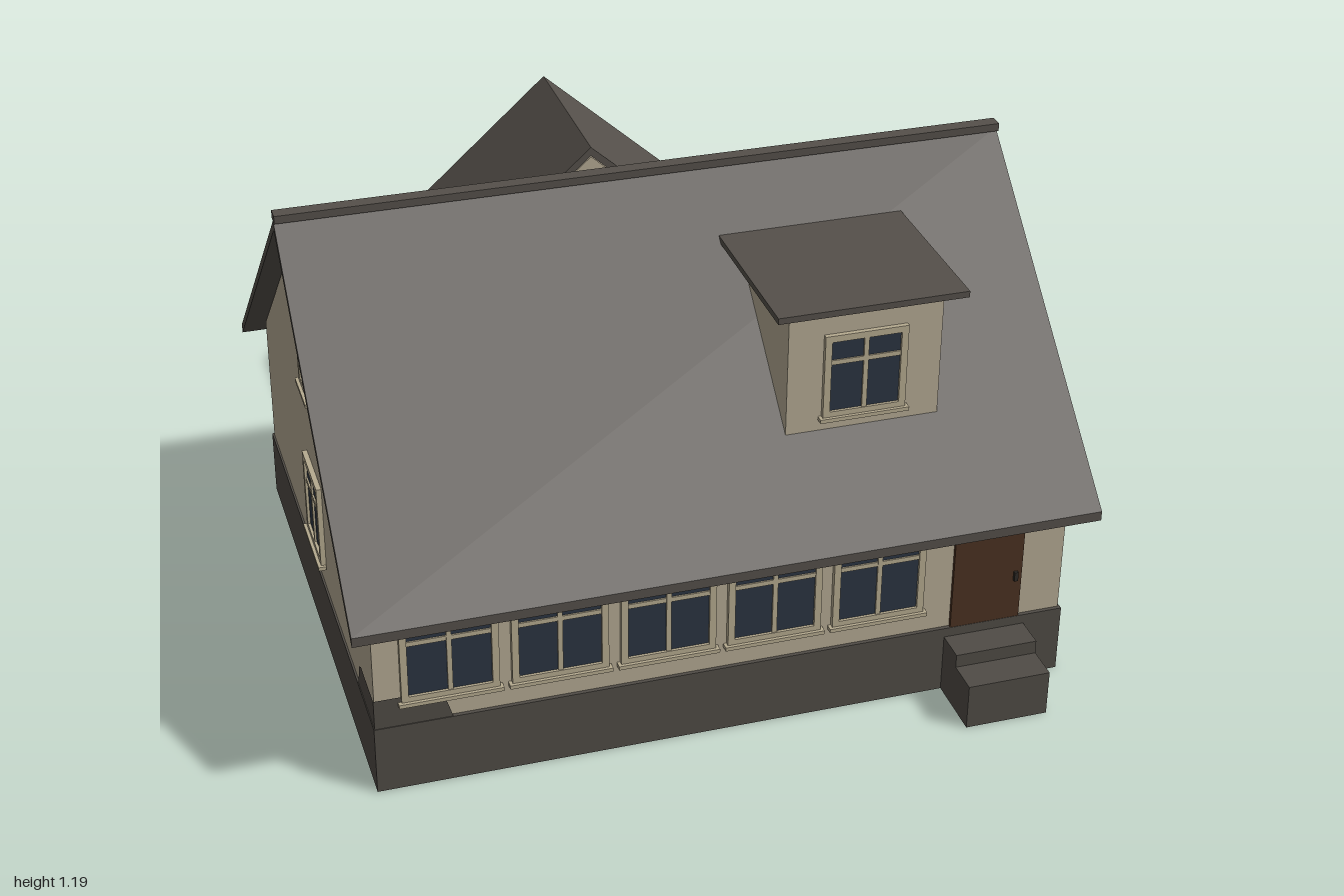
import * as THREE from 'three';

const mat = (name, color, side = THREE.FrontSide) => {
  const m = new THREE.MeshStandardMaterial({ color, side });
  m.name = name;
  return m;
};

export function createModel() {
  const house = new THREE.Group();
  house.name = 'house';
  const wallMat = mat('plaster', 0xb5aa94, THREE.DoubleSide);
  const roofMat = mat('roof', 0x55504a);
  const stoneMat = mat('plinth stone', 0x504c46, THREE.DoubleSide);
  const frameMat = mat('window frame', 0xb6ab90);
  const glassMat = mat('glass', 0x2b3442);
  const doorMat = mat('door wood', 0x4b3221);
  const metalMat = mat('dark metal', 0x2e2a26);

  const add = (parent, name, geo, material, x = 0, y = 0, z = 0) => {
    const m = new THREE.Mesh(geo, material);
    m.name = name;
    m.position.set(x, y, z);
    parent.add(m);
    return m;
  };
  // box given by its limits
  const box = (parent, name, material, x0, x1, y0, y1, z0, z1) =>
    add(parent, name, new THREE.BoxGeometry(x1 - x0, y1 - y0, z1 - z0), material,
      (x0 + x1) / 2, (y0 + y1) / 2, (z0 + z1) / 2);
  const poly = (pts) => new THREE.Shape(pts.map(([x, y]) => new THREE.Vector2(x, y)));
  const group = (name, x = 0, y = 0, z = 0, ry = 0) => {
    const g = new THREE.Group();
    g.name = name;
    g.position.set(x, y, z);
    g.rotation.y = ry;
    house.add(g);
    return g;
  };

  // pitched roof: chevron section extruded along z
  const pitchedRoof = (parent, name, run, eave, ridge, t, z0, z1) => {
    const s = poly([[-run, eave], [-run, eave - t], [0, ridge - t], [run, eave - t], [run, eave], [0, ridge]]);
    const geo = new THREE.ExtrudeGeometry(s, { depth: z1 - z0, bevelEnabled: false });
    add(parent, name, geo, roofMat, 0, 0, z0);
  };
  const gable = (parent, name, half, base, top, peak, z) =>
    add(parent, name, new THREE.ShapeGeometry(
      poly([[-half, base], [half, base], [half, top], [0, peak], [-half, top]])), wallMat, 0, 0, z);
  const sideWalls = (parent, half, base, top, z0, z1) => {
    for (const s of [-1, 1]) {
      const w = add(parent, 'sideWall', new THREE.PlaneGeometry(z1 - z0, top - base), wallMat,
        s * half, (base + top) / 2, (z0 + z1) / 2);
      w.rotation.y = s * Math.PI / 2;
    }
  };

  // main body, ridge running along x
  const body = group('mainBody', 0, 0, 0.145, Math.PI / 2);
  for (const z of [-0.86, 0.86]) gable(body, 'gableWall', 0.68, 0.17, 0.533, 1.147, z);
  sideWalls(body, 0.68, 0.17, 0.533, -0.86, 0.86);
  pitchedRoof(body, 'mainRoof', 0.755, 0.495, 1.173, 0.025, -0.915, 0.915);
  box(house, 'ridgeCap', roofMat, -0.915, 0.915, 1.172, 1.192, 0.127, 0.163);

  // hollow plinth
  box(house, 'plinthFront', stoneMat, -0.865, 0.865, 0, 0.18, 0.82, 0.835);
  box(house, 'plinthBack', stoneMat, -0.865, 0.865, 0, 0.18, -0.543, -0.528);
  for (const s of [-1, 1])
    box(house, 'plinthSide', stoneMat, s * 0.8575 - 0.0075, s * 0.8575 + 0.0075, 0, 0.18, -0.528, 0.82);

  // raised stone facing at the front corner
  const facing = () => new THREE.ShapeGeometry(
    poly([[0, 0.17], [0.19, 0.17], [0.175, 0.22], [0.165, 0.245], [0.14, 0.26], [0, 0.26]]));
  add(house, 'cornerFacingFront', facing(), stoneMat, -0.863, 0, 0.833);
  add(house, 'cornerFacingSide', facing(), stoneMat, -0.863, 0, 0.833).rotation.y = Math.PI / 2;

  // rear extension
  const wing = group('rearExtension', 0.04, 0, 0);
  gable(wing, 'rearGable', 0.42, 0, 0.535, 0.915, -0.94);
  gable(wing, 'innerGable', 0.42, 0.51, 0.535, 0.915, -0.505);
  sideWalls(wing, 0.42, 0, 0.535, -0.94, -0.52);
  pitchedRoof(wing, 'extensionRoof', 0.48, 0.513, 0.942, 0.025, -1, -0.505);

  // dormer
  const cheek = new THREE.ExtrudeGeometry(poly([[0.67, 0.69], [0.67, 1.035], [0.29, 1.035]]),
    { depth: 0.385, bevelEnabled: false });
  add(house, 'dormerWalls', cheek, wallMat, 0.57).rotation.y = -Math.PI / 2;
  box(house, 'dormerRoof', roofMat, 0.14, 0.612, 1.033, 1.049, 0.28, 0.72);

  // window facing local +z, origin at bottom centre
  const makeWindow = (name, x, y, z, ry, w, h, bar = true) => {
    const g = group(name, x, y, z, ry);
    const f = 0.017, b = 0.006, gy = h * 0.67;
    box(g, 'glass', glassMat, -w / 2 + f, w / 2 - f, f, h - f, 0.001, 0.005);
    box(g, 'innerPanel', roofMat, -w / 2 + f, w / 2 - f, f, h - f, -0.006, -0.002);
    for (const s of [-1, 1])
      box(g, 'frameSide', frameMat, s * (w - f) / 2 - f / 2, s * (w - f) / 2 + f / 2, 0, h, -0.009, 0.012);
    for (const y0 of [0, h - f])
      box(g, 'frameRail', frameMat, -w / 2 + f, w / 2 - f, y0, y0 + f, -0.009, 0.012);
    box(g, 'mullion', frameMat, -b, b, f, h - f, 0.004, 0.01);
    if (bar) box(g, 'crossBar', frameMat, -w / 2 + f, w / 2 - f, gy - b, gy + b, 0.004, 0.009);
    box(g, 'sill', frameMat, -w / 2 - 0.008, w / 2 + 0.008, -0.007, 0.003, 0, 0.02);
  };
  for (let i = 0; i < 5; i++)
    makeWindow('frontWindow', -0.68 + i * 0.264, 0.243, 0.826, 0, 0.234, 0.242);
  makeWindow('dormerWindow', 0.377, 0.737, 0.67, 0, 0.208, 0.222);
  const q = Math.PI / 2;
  for (const z of [0.438, -0.143]) makeWindow('leftWindow', 0.861, 0.253, z, q, 0.192, 0.225);
  makeWindow('leftAtticWindow', 0.861, 0.703, 0.148, q, 0.122, 0.16, false);
  makeWindow('rightWindow', -0.861, 0.253, 0.148, -q, 0.192, 0.225);
  makeWindow('rightAtticWindow', -0.861, 0.703, 0.148, -q, 0.122, 0.16, false);
  for (const x of [-0.41, 0.43]) makeWindow('backWindow', x, 0.253, -0.536, Math.PI, 0.22, 0.225);

  // front door and steps
  box(house, 'door', doorMat, 0.57, 0.75, 0.18, 0.505, 0.815, 0.834);
  box(house, 'doorHandle', metalMat, 0.728, 0.738, 0.29, 0.315, 0.834, 0.842);
  box(house, 'lowerStep', stoneMat, 0.555, 0.765, 0, 0.12, 0.835, 1);
  box(house, 'upperStep', stoneMat, 0.555, 0.765, 0.12, 0.155, 0.835, 0.915);
  return house;
}
